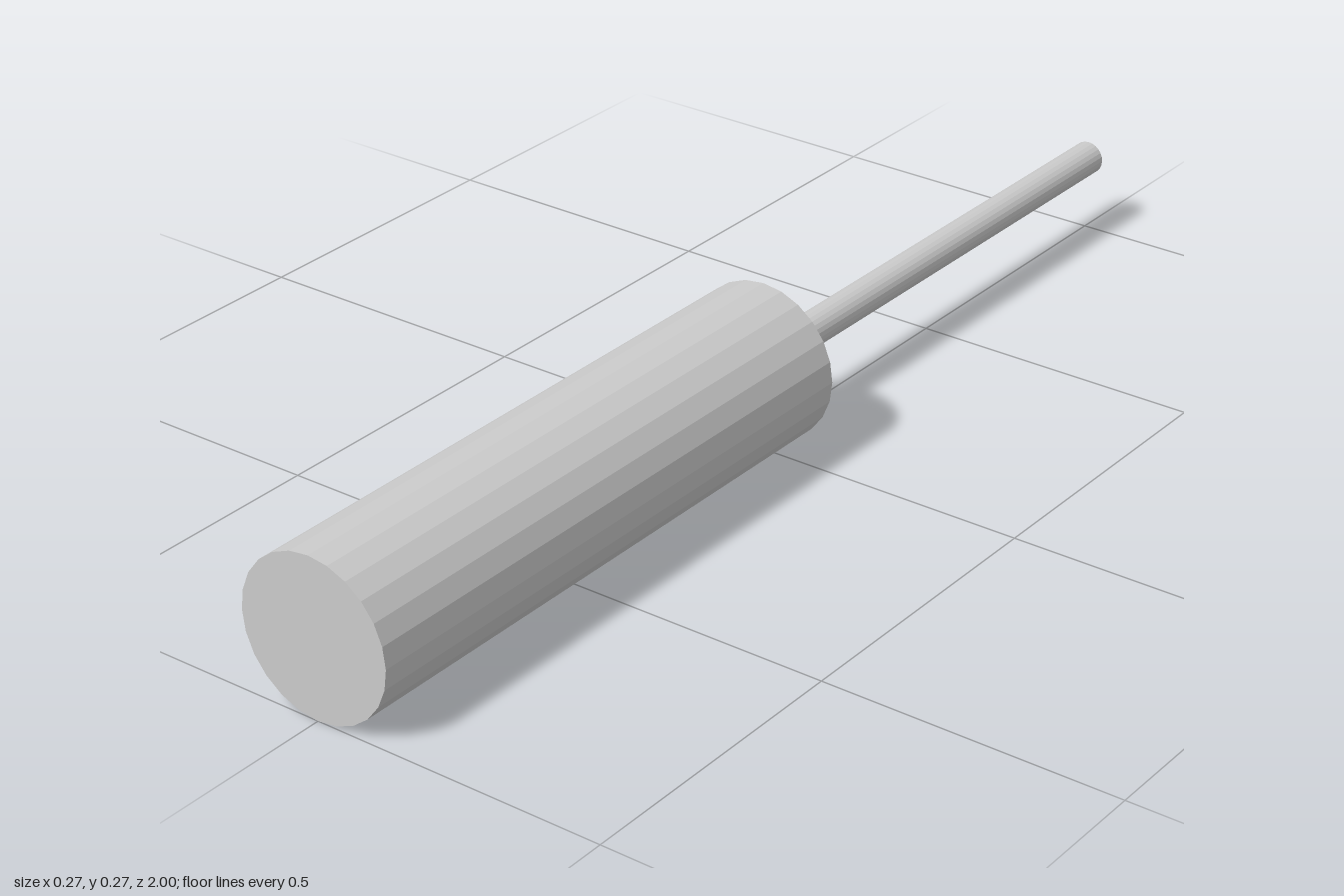
import * as THREE from 'three';

const AXIS_Y = 0.133;
const SHOULDER_Z = -0.04;

// Faceted cylinder lying along z between two depths
function rod(name, radius, zBack, zFront, material) {
  const geometry = new THREE.CylinderGeometry(radius, radius, zFront - zBack, 24);
  geometry.rotateX(Math.PI / 2);
  const mesh = new THREE.Mesh(geometry, material);
  mesh.name = name;
  mesh.position.set(0, AXIS_Y, (zBack + zFront) / 2);
  return mesh;
}

export function createModel() {
  const model = new THREE.Group();
  model.name = 'cylinderWithShaft';
  const grey = new THREE.MeshStandardMaterial({ color: 0xcccccc, flatShading: true });

  // Thick front body and thin rear shaft on a shared axis
  model.add(rod('body', 0.133, SHOULDER_Z, 1, grey));
  model.add(rod('shaft', 0.029, -1, SHOULDER_Z, grey));
  return model;
}
